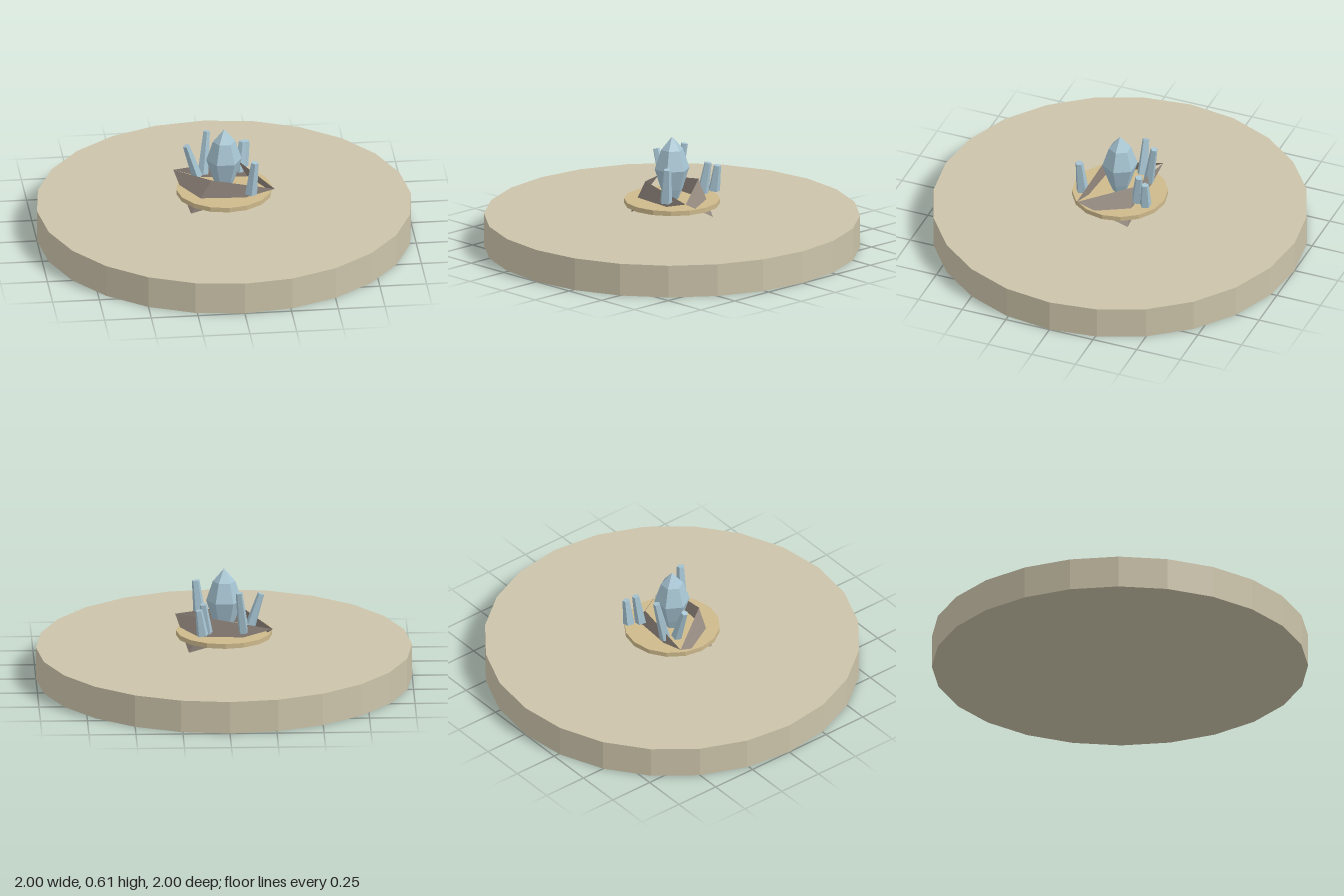
import * as THREE from 'three';

const mat = (name, color, extra = {}) => {
  const m = new THREE.MeshStandardMaterial({ color, flatShading: true, ...extra });
  m.name = name;
  return m;
};

export function createModel() {
  const model = new THREE.Group();
  const sand = mat('paleSand', 0xcbc3a9);
  const tan = mat('warmTan', 0xcdb98c);
  const stone = mat('greyStone', 0x958a80, { side: THREE.DoubleSide });
  const ice = mat('iceBlue', 0xa6c4d2);

  const add = (name, geometry, material, y = 0) => {
    const mesh = new THREE.Mesh(geometry, material);
    mesh.name = name;
    mesh.position.y = y;
    model.add(mesh);
    return mesh;
  };

  // Round plinth and the small plate hovering above it
  add('plinth', new THREE.CylinderGeometry(1, 1, 0.175, 24), sand, 0.0875);
  add('plate', new THREE.CylinderGeometry(0.255, 0.255, 0.026, 16), tan, 0.25);

  // Rock collar: two triangles, repeated by a half turn about the y axis
  const wing = [-0.255, 0.31, -0.145];
  const peak = [-0.08, 0.365, 0.12];
  const foot = [-0.19, 0.175, 0.12];
  const turn = ([x, y, z]) => [-x, y, -z];
  const half = [wing, foot, peak, foot, turn(wing), peak];
  const rock = new THREE.BufferGeometry();
  rock.setAttribute('position',
    new THREE.Float32BufferAttribute([...half, ...half.map(turn)].flat(), 3));
  rock.computeVertexNormals();
  add('rockCollar', rock, stone);

  // Main hexagonal crystal, pointed at both ends
  const profile = [[0, 0.175], [0.06, 0.32], [0.095, 0.43], [0.06, 0.535], [0, 0.605]]
    .map(([r, y]) => new THREE.Vector2(r, y));
  add('mainCrystal', new THREE.LatheGeometry(profile, 6, Math.PI / 6), ice);

  // Small leaning crystals: base, top, base radius
  const shards = [
    [[-0.135, 0.3, -0.075], [-0.195, 0.485, -0.07], 0.03],
    [[-0.1, 0.29, -0.125], [-0.075, 0.52, -0.165], 0.03],
    [[0.095, 0.29, -0.135], [0.115, 0.455, -0.155], 0.032],
    [[0.12, 0.295, -0.195], [0.14, 0.435, -0.2], 0.032],
    [[0.125, 0.3, 0.165], [0.145, 0.485, 0.175], 0.034],
  ];
  const up = new THREE.Vector3(0, 1, 0);
  for (const [b, t, r] of shards) {
    const base = new THREE.Vector3(...b);
    const top = new THREE.Vector3(...t);
    const axis = top.clone().sub(base);
    const shard = add('smallCrystal', new THREE.CylinderGeometry(r * 0.62, r, axis.length(), 5), ice);
    shard.position.copy(base).add(top).multiplyScalar(0.5);
    shard.quaternion.setFromUnitVectors(up, axis.normalize());
  }

  return model;
}
